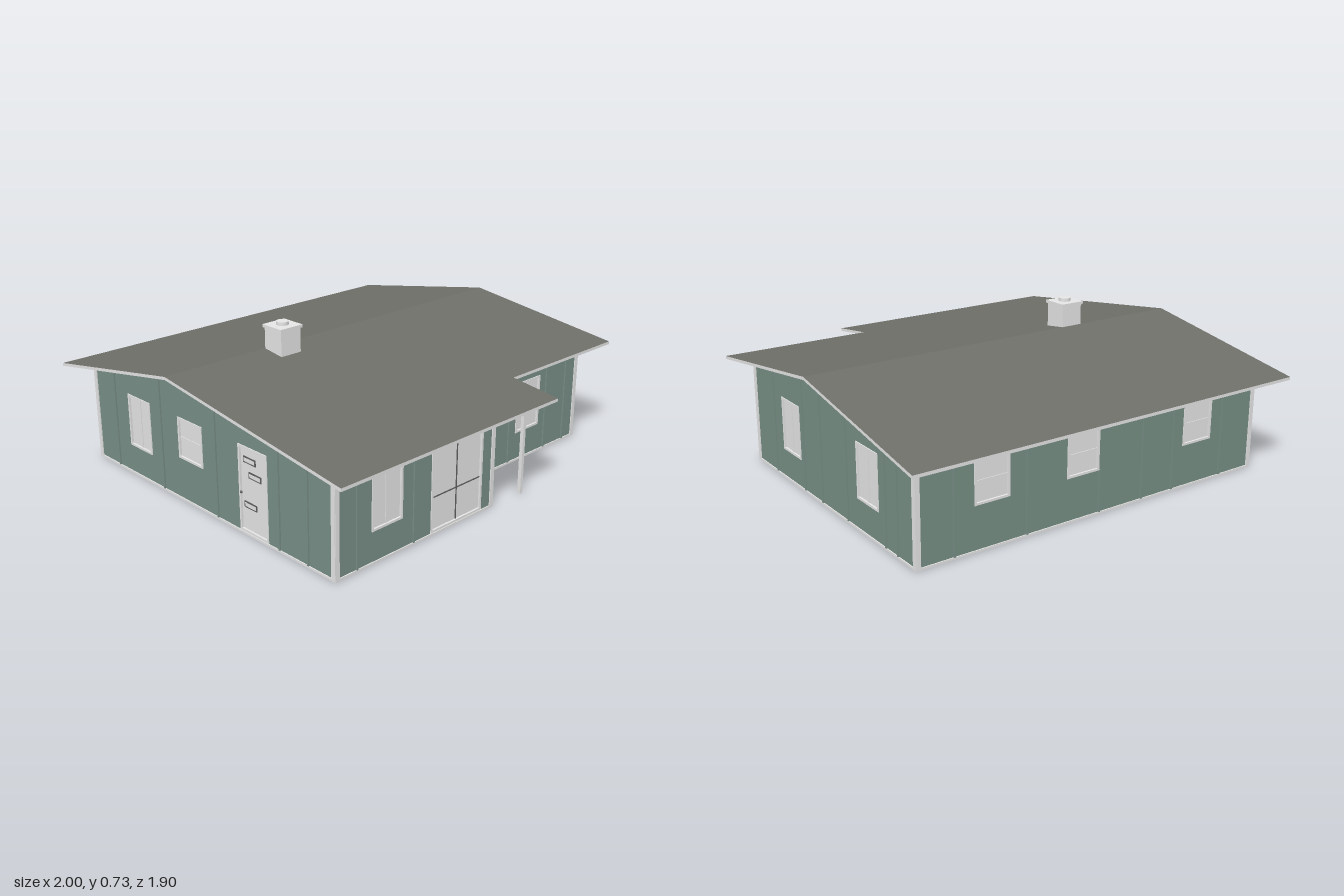
import * as THREE from 'three';

const mat = (name, color) => {
  const m = new THREE.MeshStandardMaterial({ color });
  m.name = name;
  return m;
};

export function createModel() {
  const green = mat('green siding', 0x778e85);
  const light = mat('light grey trim', 0xe5e5e5);
  const roofGrey = mat('roof grey', 0x6f6f6a);
  const soffit = mat('soffit grey', 0xd2d2d2);
  const dark = mat('dark grey lines', 0x606060);

  const house = new THREE.Group();
  house.name = 'house';
  const RIDGE = -0.11, T = 0.014, SKIN = 0.009;
  const roofY = z => 0.605 - (z > RIDGE ? (z - RIDGE) * 0.132 : (RIDGE - z) * 0.178);
  const underRoof = z => roofY(z) - T;

  const add = (parent, name, geo, material) => {
    const m = new THREE.Mesh(geo, material);
    m.name = name;
    parent.add(m);
    return m;
  };
  const box = (parent, name, w, h, d, x, y, z, material) => {
    const m = add(parent, name, new THREE.BoxGeometry(w, h, d), material);
    m.position.set(x, y, z);
    return m;
  };

  // four thin bars around a rectangle
  function frame(parent, name, u, y, w, h, t, d, z, material) {
    for (const s of [-1, 1]) {
      box(parent, name, t, h, d, u + s * (w - t) / 2, y, z, material);
      box(parent, name, w - 2 * t, t, d, u, y + s * (h - t) / 2, z, material);
    }
  }

  // fills one wall opening; local z = 0 is the outer wall face
  function fitting(parent, { type, u, w, y0, y1, flip = 1 }) {
    const g = new THREE.Group();
    g.name = type;
    parent.add(g);
    const h = y1 - y0, y = (y0 + y1) / 2;
    frame(g, type + 'Frame', u, y, w, h, 0.01, 0.026, -0.009, light);
    box(g, type + 'Panel', w - 0.018, h - 0.018, 0.008, u, y, -0.009, light);
    const bar = (name, lw, lh, lx, ly, m) => box(g, name, lw, lh, 0.014, lx, ly, -0.009, m);
    if (type === 'sliderWindow') {
      bar('mullion', 0.012, h - 0.02, u, y, light);
    } else if (type === 'sashWindow') {
      bar('meetingRail', w - 0.02, 0.012, u, y, light);
    } else if (type === 'patioDoor') {
      bar('mullion', 0.005, 0.365, u, 0.202, dark);
      bar('crossRail', w - 0.02, 0.005, u, 0.167, dark);
      bar('headRail', w - 0.02, 0.003, u, 0.386, dark);
      box(g, 'transom', w - 0.02, y1 - 0.388, 0.018, u, (y1 + 0.388) / 2, -0.009, light);
    } else {
      // door with three small panels and a knob
      for (const [dx, dy] of [[0.025, 0.335], [-0.008, 0.272], [0.025, 0.135]]) {
        bar('doorSlotEdge', 0.078, 0.028, u + dx * flip, dy, dark);
        box(g, 'doorSlot', 0.066, 0.016, 0.017, u + dx * flip, dy, -0.009, light);
      }
      const knob = add(g, 'doorKnob', new THREE.SphereGeometry(0.006, 12, 8), dark);
      knob.position.set(u + flip * (w / 2 - 0.014), 0.185, 0.004);
    }
  }

  // wall from a (u, y) outline: green outer skin, light inner skin, holes, battens
  function wall(name, outline, pos, turn, openings, battens) {
    const g = new THREE.Group();
    g.name = name;
    g.position.set(...pos);
    g.rotation.y = turn;
    house.add(g);
    const shape = new THREE.Shape(outline.map(p => new THREE.Vector2(...p)));
    for (const { u, w, y0, y1 } of openings) {
      const a = u - w / 2 + 0.004, b = u + w / 2 - 0.004, c = y0 + 0.004, d = y1 - 0.004;
      shape.holes.push(new THREE.Path([[a, c], [a, d], [b, d], [b, c]].map(p => new THREE.Vector2(...p))));
    }
    for (const [part, k, m] of [['siding', 1, green], ['lining', 2, light]]) {
      const geo = new THREE.ExtrudeGeometry(shape, { depth: SKIN, bevelEnabled: false });
      add(g, part, geo.translate(0, 0, -k * SKIN), m);
    }
    openings.forEach(o => fitting(g, o));

    // sill, corner boards and slim battens in the siding colour
    const us = outline.map(p => p[0]), u0 = Math.min(...us), u1 = Math.max(...us);
    const topAt = u => {
      const top = outline.slice(1);
      for (let i = 0; i < top.length - 1; i++) {
        const [a, ya] = top[i], [b, yb] = top[i + 1];
        if (a !== b && (u - a) * (u - b) <= 0) return ya + (yb - ya) * (u - a) / (b - a);
      }
      return 0.46;
    };
    box(g, 'sill', u1 - u0, 0.01, 0.005, (u0 + u1) / 2, 0.005, 0.002, light);
    for (const [u, s] of [[u0, 1], [u1, -1]]) {
      const h = topAt(u) - 0.002;
      box(g, 'cornerBoard', 0.021, h, 0.006, u + s * 0.0075, h / 2, 0.002, light);
    }
    for (const u of battens) {
      const top = topAt(u) - 0.004;
      const hit = openings.find(o => Math.abs(o.u - u) < o.w / 2 + 0.006);
      const spans = hit ? [[0.01, hit.y0], [hit.y1, top]] : [[0.01, top]];
      for (const [a, b] of spans) box(g, 'batten', 0.008, b - a, 0.014, u, (a + b) / 2, 0, green);
    }
  }

  // outline running along z, following the roof; sign maps z to u
  const sloped = (z0, z1, sign) => {
    const top = [z0, z1];
    if (z0 < RIDGE && z1 > RIDGE) top.splice(1, 0, RIDGE);
    const pts = [[z0, 0], ...top.map(z => [z, underRoof(z)]), [z1, 0]];
    return pts.map(([z, y]) => [sign * z, y]);
  };
  const flat = (u0, u1, h) => [[u0, 0], [u0, h], [u1, h], [u1, 0]];

  // outer walls
  const X = 0.911, WING = 0.82, RECESS = 0.59, BACK = -0.818, WINGX = 0.008;
  const slider = u => ({ type: 'sliderWindow', u, w: 0.17, y0: 0.142, y1: 0.39 });
  const sash = u => ({ type: 'sashWindow', u, w: 0.17, y0: 0.2, y1: 0.39 });
  wall('wingFrontWall', flat(-X, WINGX, underRoof(WING)), [0, 0, WING], 0, [
    slider(-0.635), { type: 'patioDoor', u: -0.225, w: 0.315, y0: 0.012, y1: 0.457 }], [-0.8, -0.485]);
  wall('recessedFrontWall', flat(WINGX, X, underRoof(RECESS)), [0, 0, RECESS], 0, [
    { type: 'door', u: 0.105, w: 0.175, y0: 0.012, y1: 0.396 }, slider(0.535)], [0.4, 0.67, 0.82]);
  wall('wingPorchWall', sloped(RECESS, WING, -1), [WINGX, 0, 0], Math.PI / 2, [], []);
  wall('leftWall', sloped(BACK, RECESS, -1), [X, 0, 0], Math.PI / 2,
    [slider(-0.22), slider(0.46)], [-0.385, -0.1, 0.065, 0.29, 0.6, 0.69]);
  wall('rightWall', sloped(BACK, WING, 1), [-X, 0, 0], -Math.PI / 2, [
    slider(-0.46), sash(-0.08), { type: 'door', u: 0.34, w: 0.18, y0: 0.012, y1: 0.396, flip: -1 }],
  [-0.65, -0.29, 0.1, 0.5, 0.67]);
  wall('backWall', flat(-X, X, underRoof(BACK)), [0, 0, BACK], Math.PI,
    [sash(-0.56), sash(-0.1), sash(0.555)], [-0.74, -0.39, -0.01, 0.23, 0.41, 0.71]);

  // inner partitions across the house, then along it
  for (const [z, x0, x1] of [[0.08, -0.89, 0], [-0.14, -0.2, 0.89]]) {
    const h = underRoof(z) - 0.004;
    box(house, 'partition', x1 - x0, h, 0.014, (x0 + x1) / 2, h / 2, z, light);
  }
  for (const [x, z0, z1] of [[-0.42, 0.08, 0.8], [-0.2, -0.8, 0.08], [0.33, -0.8, -0.14]]) {
    const shape = new THREE.Shape(sloped(z0, z1, -1).map(p => new THREE.Vector2(...p)));
    const geo = new THREE.ExtrudeGeometry(shape, { depth: 0.014, bevelEnabled: false });
    const m = add(house, 'partition', geo, light);
    m.rotation.y = Math.PI / 2;
    m.position.x = x - 0.007;
  }

  // roof layers: flat outlines lifted to the roof slope, dark covering over a pale soffit
  function slab(name, outline) {
    const shape = new THREE.Shape(outline.map(([x, z]) => new THREE.Vector2(x, -z)));
    for (const [part, low, depth, materials] of [
      ['Covering', -0.005, 0.005, [roofGrey, light]], ['Soffit', -T, T - 0.005, [soffit, light]]]) {
      const geo = new THREE.ExtrudeGeometry(shape, { depth, bevelEnabled: false });
      geo.rotateX(-Math.PI / 2).translate(0, low, 0);
      const p = geo.attributes.position;
      for (let i = 0; i < p.count; i++) p.setY(i, p.getY(i) + roofY(p.getZ(i)));
      geo.computeVertexNormals();
      add(house, name + part, geo, materials);
    }
  }
  slab('frontRoof', [[-1, RIDGE], [-1, 0.949], [0.265, 0.949], [0.265, 0.708], [1, 0.708], [1, RIDGE]]);
  slab('backRoof', [[-1, -0.949], [-1, RIDGE], [1, RIDGE], [1, -0.949]]);

  // porch post
  const postH = underRoof(0.826);
  box(house, 'porchPost', 0.016, postH, 0.016, 0.197, postH / 2, 0.826, light);

  // chimney with cap and flue
  const chimney = new THREE.Group();
  chimney.name = 'chimney';
  chimney.position.set(-0.409, 0, -0.055);
  house.add(chimney);
  box(chimney, 'chimneyStack', 0.111, 0.15, 0.111, 0, 0.633, 0, light);
  box(chimney, 'chimneyCap', 0.124, 0.014, 0.124, 0, 0.71, 0, light);
  const flue = add(chimney, 'flue', new THREE.CylinderGeometry(0.028, 0.028, 0.018, 24), light);
  flue.position.y = 0.724;

  return house;
}
